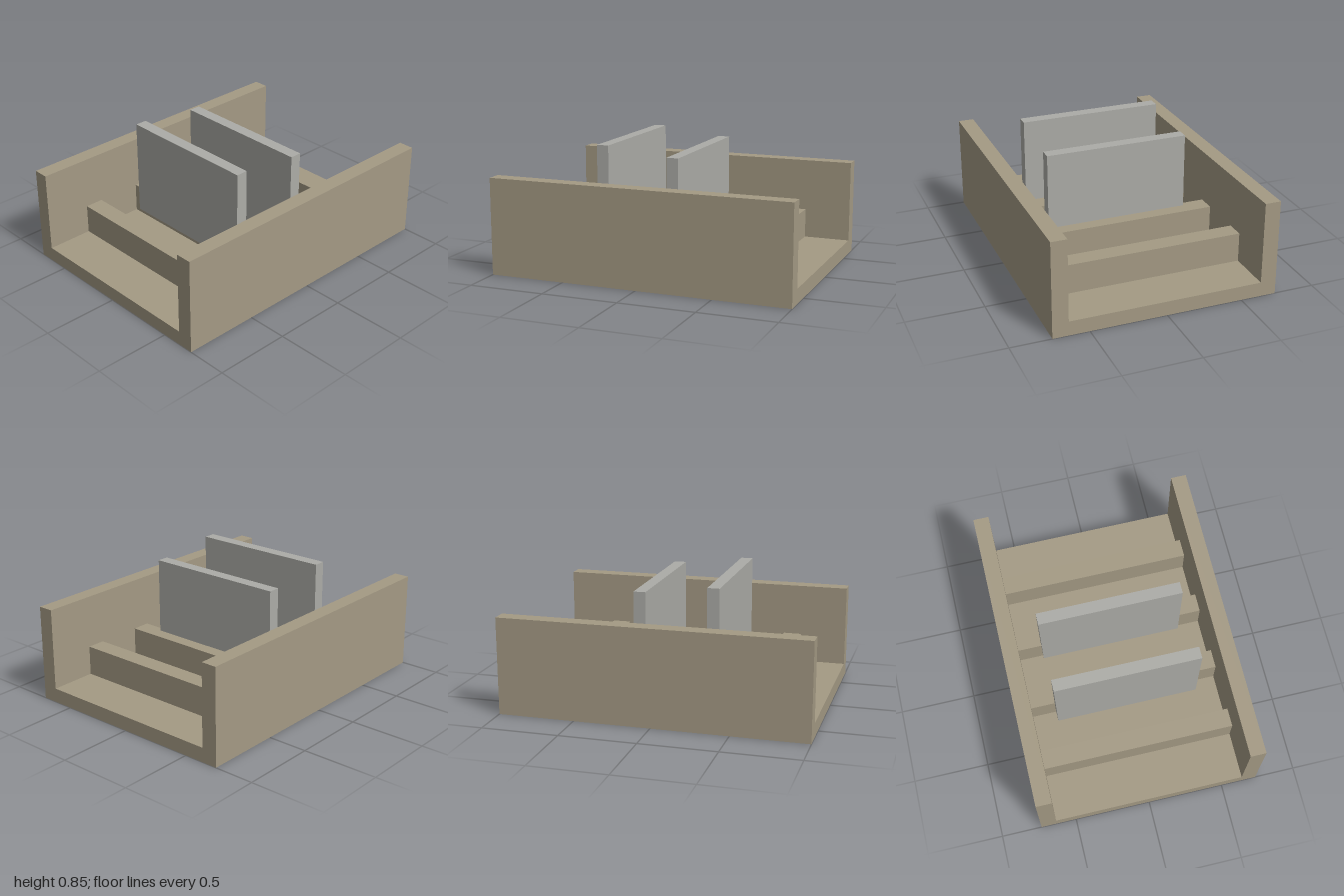
import * as THREE from 'three';

export function createModel() {
  const model = new THREE.Group();
  const tan = new THREE.MeshStandardMaterial({ color: 0xa49a84 });
  tan.name = 'tan';
  const grey = new THREE.MeshStandardMaterial({ color: 0xacaca7 });
  grey.name = 'grey';

  // Box given by its limits along each axis
  function addBox(name, material, [x0, x1], [y0, y1], [z0, z1]) {
    const mesh = new THREE.Mesh(new THREE.BoxGeometry(x1 - x0, y1 - y0, z1 - z0), material);
    mesh.position.set((x0 + x1) / 2, (y0 + y1) / 2, (z0 + z1) / 2);
    mesh.name = name;
    model.add(mesh);
  }

  // U-shaped channel: floor and two side walls in one extrusion along x
  const outer = 0.735, inner = 0.632, floor = 0.095, top = 0.635;
  const profile = new THREE.Shape([
    [-outer, 0], [outer, 0], [outer, top], [inner, top],
    [inner, floor], [-inner, floor], [-inner, top], [-outer, top],
  ].map(([z, y]) => new THREE.Vector2(z, y)));
  const channelGeometry = new THREE.ExtrudeGeometry(profile, { depth: 2, bevelEnabled: false });
  channelGeometry.translate(0, 0, -1).rotateY(Math.PI / 2);
  const channel = new THREE.Mesh(channelGeometry, tan);
  channel.name = 'channel';
  model.add(channel);

  // Four cross bars on the floor
  for (const x of [-0.632, -0.21, 0.207, 0.63]) {
    addBox('crossBar', tan, [x - 0.061, x + 0.061], [floor, 0.29], [-inner, inner]);
  }

  // Two upright panels, one set a little lower
  addBox('tallPanel', grey, [-0.37, -0.292], [0.207, 0.845], [-0.473, 0.473]);
  addBox('lowPanel', grey, [0.103, 0.181], [0.155, 0.793], [-0.473, 0.473]);

  return model;
}
